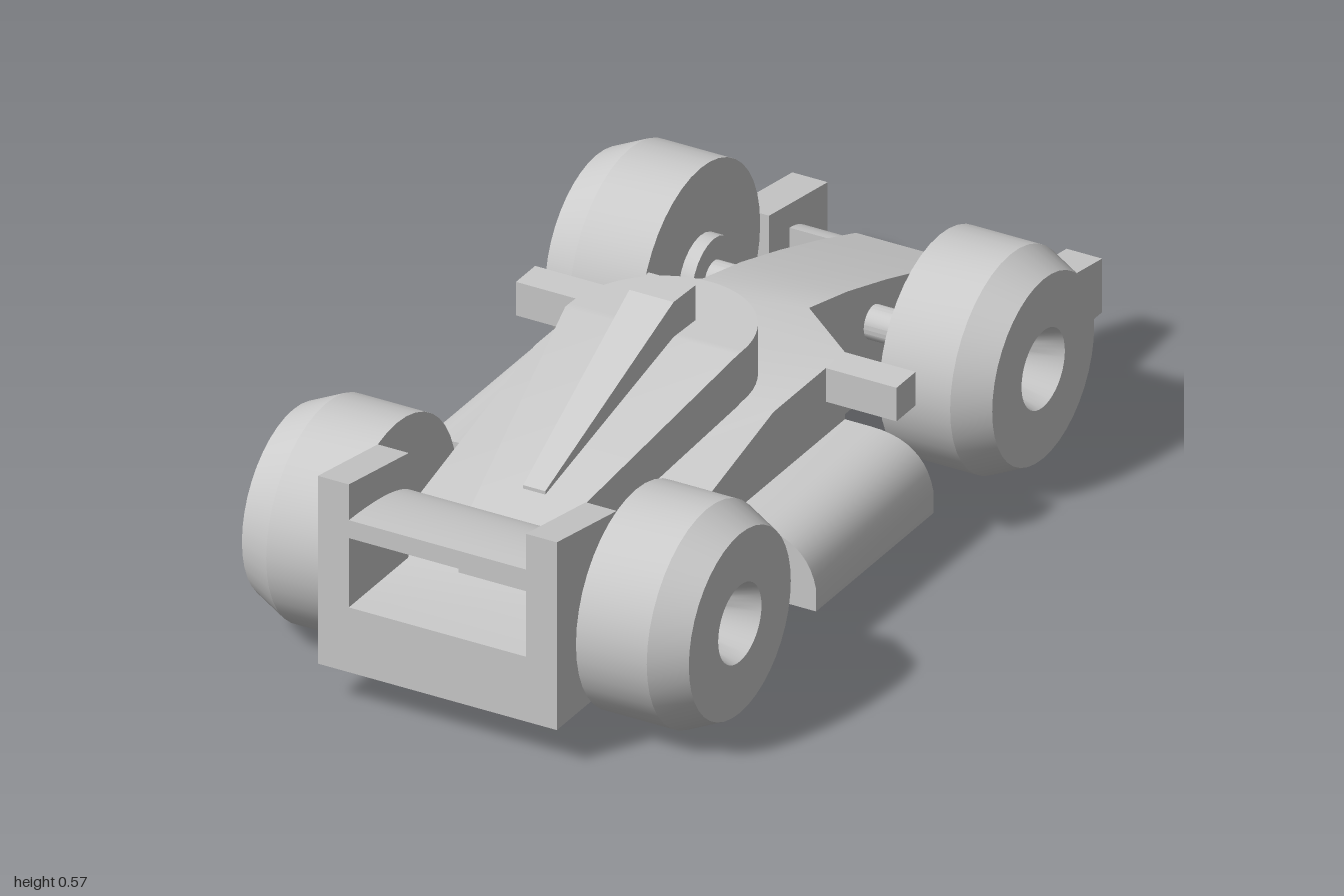
import * as THREE from 'three';
import { toCreasedNormals } from 'three/addons/utils/BufferGeometryUtils.js';

const material = new THREE.MeshStandardMaterial({ color: 0xcccccc });

function part(parent, name, geometry) {
  const mesh = new THREE.Mesh(toCreasedNormals(geometry, 0.4), material);
  mesh.name = name;
  parent.add(mesh);
  return mesh;
}

// Rectangular cross-sections [z, half width, bottom y, top y] joined along z
function loft(sections) {
  const rings = sections.map(([z, w, b, t]) =>
    [[-w, b, z], [w, b, z], [w, t, z], [-w, t, z]]);
  const pos = [];
  const quad = (a, b, c, d) => pos.push(...a, ...b, ...c, ...a, ...c, ...d);
  for (let i = 0; i < rings.length - 1; i++) {
    const p = rings[i], q = rings[i + 1];
    for (let j = 0; j < 4; j++) {
      const k = (j + 1) % 4;
      quad(p[j], p[k], q[k], q[j]);
    }
  }
  const [a, b, c, d] = rings[0];
  quad(d, c, b, a);
  quad(...rings[rings.length - 1]);
  const geometry = new THREE.BufferGeometry();
  geometry.setAttribute('position', new THREE.Float32BufferAttribute(pos, 3));
  return geometry;
}

// Side profile in (z, y), extruded across x from x0 to x1
function sideExtrude(shape, x0, x1) {
  return new THREE.ExtrudeGeometry(shape, { depth: x1 - x0, bevelEnabled: false, curveSegments: 10 })
    .rotateY(-Math.PI / 2).translate(x1, 0, 0);
}

const polygon = (points) => new THREE.Shape(points.map(([x, y]) => new THREE.Vector2(x, y)));

// Wing profile: flat underside, rounded leading edge, top rising to the rear
function wingShape(z0, z1, bottom, top) {
  const shape = new THREE.Shape();
  shape.moveTo(z0, bottom);
  shape.lineTo(z1, bottom);
  shape.lineTo(z1, top);
  shape.quadraticCurveTo(z0 + (z1 - z0) * 0.3, top - (top - bottom) * 0.1, z0, bottom);
  return shape;
}

export function createModel() {
  const car = new THREE.Group();
  car.name = 'racingCar';

  // Hull: narrow nose, flared shoulders, deck falling to the tail
  part(car, 'hull', loft([
    [-0.85, 0.12, 0.08, 0.2], [-0.7, 0.12, 0.08, 0.255], [-0.55, 0.12, 0.08, 0.305],
    [-0.4, 0.12, 0.08, 0.35], [-0.25, 0.12, 0.08, 0.385], [-0.13, 0.27, 0.08, 0.385],
    [0.15, 0.27, 0.08, 0.385], [0.77, 0.27, 0.08, 0.225], [1, 0.27, 0.08, 0.225],
  ]));

  // Engine cowl: rounded front, tapering tail
  const cowl = [];
  for (let i = 0; i <= 14; i++) {
    const a = (i / 14) * Math.PI / 2;
    cowl.push([0.14 - 0.21 * Math.cos(a), 0.195 * Math.sin(a), 0.36, 0.497]);
  }
  cowl.push([0.16, 0.195, 0.36, 0.497], [0.77, 0.085, 0.2, 0.312]);
  part(car, 'engineCowl', loft(cowl));

  // Air intake on top of the cowl
  part(car, 'airIntake', loft([
    [0.08, 0.053, 0.48, 0.575], [0.16, 0.05, 0.48, 0.575], [0.62, 0.025, 0.34, 0.365],
  ]));

  // Wings between their end plates
  part(car, 'rearWing', sideExtrude(wingShape(0.77, 1, 0.38, 0.42), -0.21, 0.21));
  part(car, 'noseWing', sideExtrude(wingShape(-0.96, -0.85, 0.08, 0.17), -0.28, 0.28));

  // Side pod section in (x, y)
  const podShape = new THREE.Shape();
  podShape.moveTo(0.25, 0.08);
  podShape.lineTo(0.47, 0.08);
  podShape.lineTo(0.47, 0.13);
  podShape.quadraticCurveTo(0.45, 0.235, 0.33, 0.235);
  podShape.lineTo(0.25, 0.235);

  // Wheel profile (radius, distance along the axle)
  const wheelProfile = [[0, 0.27], [0.235, 0.27], [0.235, 0.43], [0.2, 0.505],
    [0.085, 0.505], [0.062, 0.43], [0, 0.43]].map(([r, x]) => new THREE.Vector2(r, x));
  const axlePart = (radius, x0, x1) =>
    new THREE.CylinderGeometry(radius, radius, x1 - x0, 24)
      .rotateZ(Math.PI / 2).translate((x0 + x1) / 2, 0, 0);

  for (const [side, s] of [['left', 1], ['right', -1]]) {
    const span = (a, b) => (s > 0 ? [a, b] : [-b, -a]);

    part(car, side + 'RearEndPlate', sideExtrude(
      polygon([[0.765, 0.08], [1, 0.08], [1, 0.5], [0.765, 0.458]]), ...span(0.2, 0.27)));
    part(car, side + 'NoseEndPlate', sideExtrude(
      polygon([[-1, 0.08], [-0.77, 0.08], [-0.77, 0.235], [-1, 0.2]]), ...span(0.27, 0.35)));

    // Side pod, turned half round its own centre for the right side
    const pod = new THREE.ExtrudeGeometry(podShape, { depth: 0.46, bevelEnabled: false, curveSegments: 10 })
      .translate(0, 0, -0.23);
    if (s < 0) pod.rotateY(Math.PI);
    part(car, side + 'SidePod', pod.translate(0, 0, 0.1));

    part(car, side + 'Mirror', new THREE.BoxGeometry(0.19, 0.075, 0.075)
      .translate(s * 0.335, 0.3475, -0.0925));

    // Wheels, with the exposed axle at the nose
    for (const [end, z] of [['Front', -0.5], ['Rear', 0.69]]) {
      const wheel = new THREE.Group();
      wheel.name = side + end + 'Wheel';
      wheel.position.set(0, 0.235, z);
      if (s < 0) wheel.rotation.y = Math.PI;
      part(wheel, 'tyre', new THREE.LatheGeometry(wheelProfile, 40).rotateZ(-Math.PI / 2));
      if (end === 'Front') {
        part(wheel, 'hub', axlePart(0.085, 0.24, 0.28));
        part(wheel, 'axle', axlePart(0.036, 0.1, 0.25));
      }
      car.add(wheel);
    }
  }
  return car;
}
